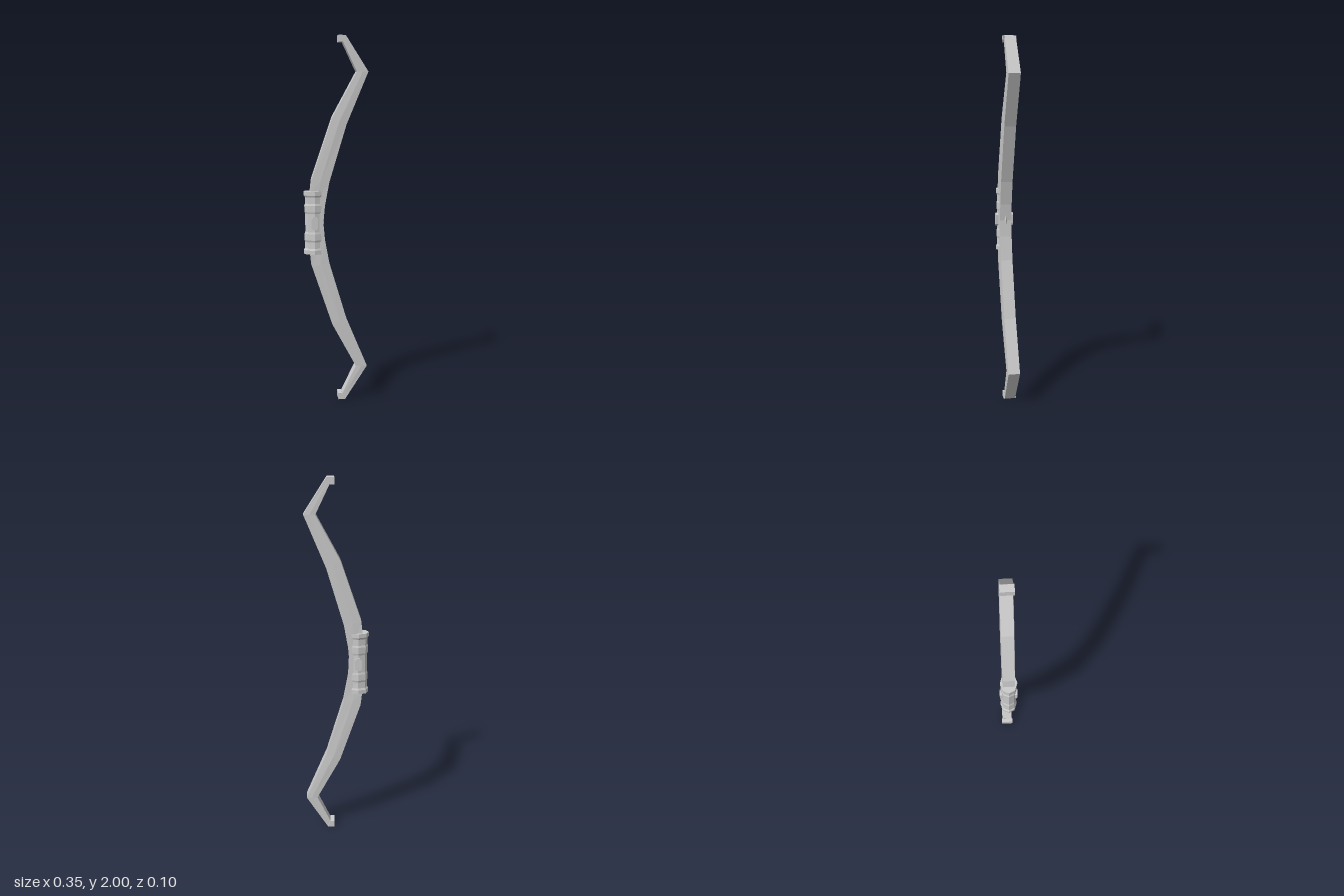
import * as THREE from 'three';

const material = new THREE.MeshStandardMaterial({
  color: 0xcccccc, flatShading: true, side: THREE.DoubleSide,
});

// Faceted solid through rings of points, stacked upward
function loft(name, rings) {
  const pos = [];
  const tri = (a, b, c) => pos.push(...a, ...b, ...c);
  const n = rings[0].length;
  for (let i = 0; i < rings.length - 1; i++) {
    for (let j = 0; j < n; j++) {
      const k = (j + 1) % n, lo = rings[i], hi = rings[i + 1];
      tri(lo[j], lo[k], hi[k]);
      tri(lo[j], hi[k], hi[j]);
    }
  }
  const first = rings[0], last = rings[rings.length - 1];
  for (let j = 1; j < n - 1; j++) {
    tri(first[0], first[j + 1], first[j]);
    tri(last[0], last[j], last[j + 1]);
  }
  const geo = new THREE.BufferGeometry();
  geo.setAttribute('position', new THREE.Float32BufferAttribute(pos, 3));
  geo.computeVertexNormals();
  const mesh = new THREE.Mesh(geo, material);
  mesh.name = name;
  return mesh;
}

// Six-sided limb section: flat edges with a slight ridge along each side
function limbRing([ox, oy, ix, iy, w, r], flip) {
  const f = (y) => (flip ? 2 - y : y);
  const mx = (ox + ix) / 2, my = (oy + iy) / 2;
  return [
    [ox, f(oy), w], [mx, f(my), r], [ix, f(iy), w],
    [ix, f(iy), -w], [mx, f(my), -r], [ox, f(oy), -w],
  ];
}

export function createModel() {
  const bow = new THREE.Group();
  bow.name = 'bow';

  // Limbs: outer x, y, inner x, y, half width, ridge half width (centre to tip)
  const half = [
    [-0.14, 1.0, -0.07, 1.0, 0.032, 0.033],
    [-0.14, 1.17, -0.062, 1.09, 0.032, 0.033],
    [-0.132, 1.24, -0.038, 1.22, 0.032, 0.035],
    [-0.02, 1.57, 0.055, 1.53, 0.032, 0.036],
    [0.11, 1.81, 0.172, 1.81, 0.032, 0.034],
    [0.034, 1.968, 0.052, 1.998, 0.03, 0.03],
  ];
  const lower = half.slice(1).reverse().map((s) => limbRing(s, true));
  bow.add(loft('limbs', [...lower, ...half.map((s) => limbRing(s, false))]));

  // Nocks at both tips
  for (const up of [true, false]) {
    const shape = new THREE.Shape(
      [[0.012, 0.964], [0.034, 0.964], [0.052, 0.998], [0.05, 1], [0.012, 1]]
        .map(([x, y]) => new THREE.Vector2(x, up ? 1 + y : 1 - y)));
    const geo = new THREE.ExtrudeGeometry(shape, { depth: 0.068, bevelEnabled: false });
    geo.translate(0, 0, -0.034);
    const nock = new THREE.Mesh(geo, material);
    nock.name = up ? 'upperNock' : 'lowerNock';
    bow.add(nock);
  }

  // Grip wrap: keeled section, waisted between flared rims
  const section = [[-0.175, 0], [-0.16, 0.032], [-0.118, 0.046], [-0.08, 0.034],
    [-0.08, -0.034], [-0.118, -0.046], [-0.16, -0.032]];
  const waist = [[0.172, 1], [0.15, 1], [0.14, 0.9], [0.105, 0.88],
    [0.095, 0.95], [0.06, 0.93], [0.05, 0.87]];
  const levels = [...waist.map(([h, s]) => [-h, s]), ...[...waist].reverse()];
  bow.add(loft('grip', levels.map(([h, s]) => section.map(
    ([x, z]) => [-0.11 + (x + 0.11) * (x < -0.11 ? s : 1), 1 + h, z * s]))));

  // Bevelled stud across the middle of the grip
  const stud = new THREE.Shape(
    [[-0.136, 0.975], [-0.126, 0.964], [-0.11, 0.964], [-0.1, 0.975],
      [-0.1, 1.025], [-0.11, 1.036], [-0.126, 1.036], [-0.136, 1.025]]
      .map(([x, y]) => new THREE.Vector2(x, y)));
  const studGeo = new THREE.ExtrudeGeometry(stud, { depth: 0.096, bevelEnabled: false });
  studGeo.translate(0, 0, -0.048);
  const studMesh = new THREE.Mesh(studGeo, material);
  studMesh.name = 'gripStud';
  bow.add(studMesh);

  // Slim diamond inlay on the string side
  const inlay = new THREE.Mesh(new THREE.OctahedronGeometry(1), material);
  inlay.name = 'inlay';
  inlay.scale.set(0.006, 0.05, 0.008);
  inlay.position.set(-0.07, 1, 0);
  bow.add(inlay);

  return bow;
}
